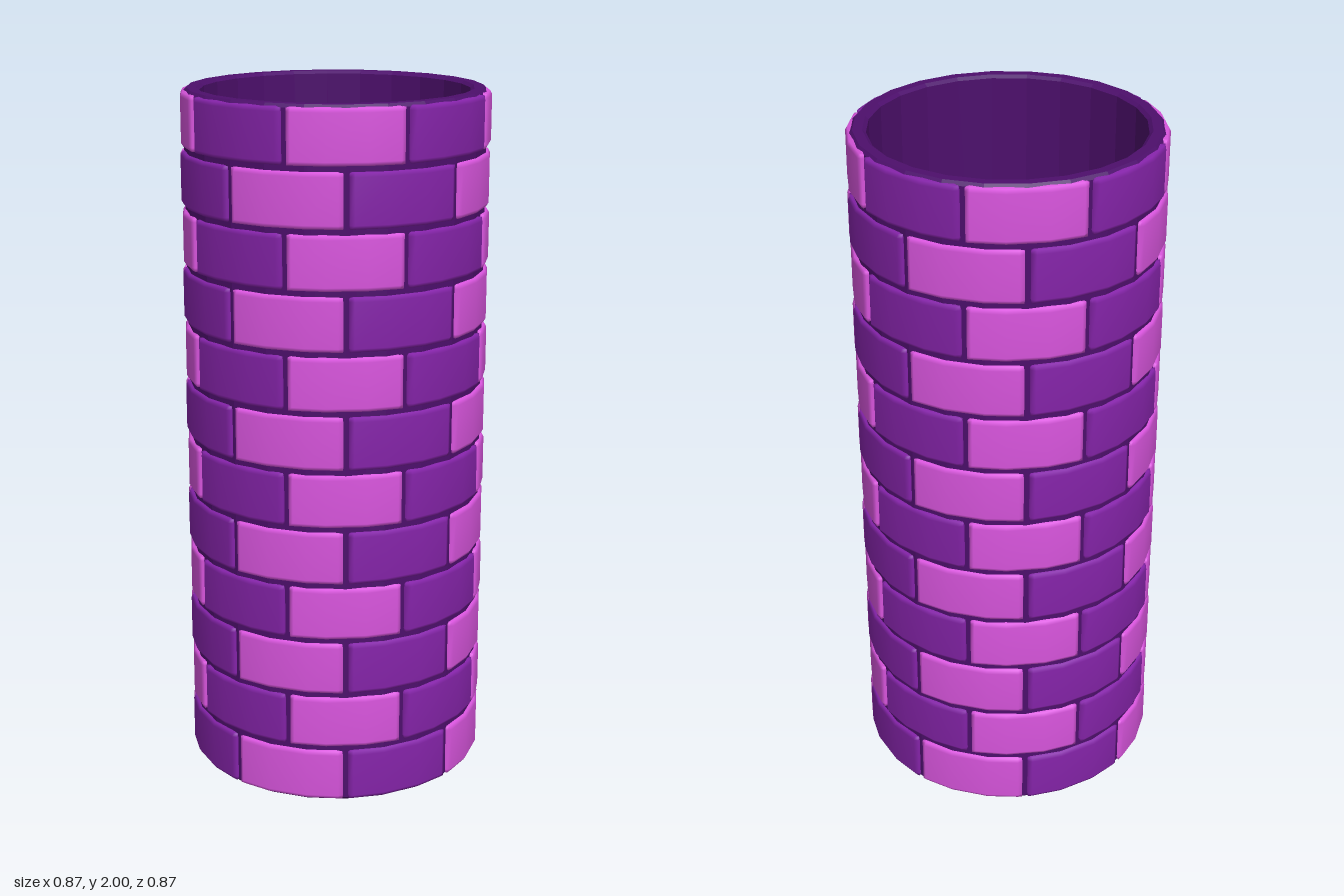
import * as THREE from 'three';

const ROWS = 12, BRICKS = 8, ROW_HEIGHT = 2 / ROWS;
const rad = THREE.MathUtils.degToRad;

function material(name, color) {
  const m = new THREE.MeshStandardMaterial({ color });
  m.name = name;
  return m;
}

// One curved brick centred on +z: a grid bent round the tower, with rounded rims and clipped corners
function brickGeometry() {
  const angles = [-21.8, -21.3, -19.6, -7.5, 7.5, 19.6, 21.3, 21.8];
  const heights = [0.078, 0.0745, 0.064, -0.064, -0.0745, -0.078];
  const drops = [0.022, 0.006, 0];
  const nx = angles.length, ny = heights.length;
  const geo = new THREE.PlaneGeometry(1, 1, nx - 1, ny - 1);
  const pos = geo.attributes.position;
  for (let j = 0; j < ny; j++) {
    for (let i = 0; i < nx; i++) {
      const ei = Math.min(i, nx - 1 - i), ej = Math.min(j, ny - 1 - j);
      const drop = Math.max(drops[Math.min(ei, 2)], drops[Math.min(ej, 2)]);
      const corner = ei + ej === 0 ? 1 : ei + ej === 1 ? 0.4 : 0;
      const a = rad(angles[i] - Math.sign(angles[i]) * corner * 1.0);
      const y = heights[j] - Math.sign(heights[j]) * corner * 0.008;
      const r = 0.437 - drop;
      pos.setXYZ(j * nx + i, r * Math.sin(a), y, r * Math.cos(a));
    }
  }
  geo.computeVertexNormals();
  return geo;
}

export function createModel() {
  const model = new THREE.Group();
  model.name = 'brickTower';

  const mortar = material('darkPurpleMortar', 0x4d0f6c);
  mortar.flatShading = true;
  const purple = material('purpleBrick', 0x8423a8);
  const pink = material('pinkBrick', 0xd955de);

  // Hollow mortar tube, open at both ends
  const profile = [
    [0.38, 0.008], [0.39, 0], [0.417, 0], [0.426, 0.01],
    [0.426, 1.99], [0.417, 2], [0.39, 2], [0.38, 1.992], [0.38, 0.008],
  ].map(([x, y]) => new THREE.Vector2(x, y));
  const wall = new THREE.Mesh(new THREE.LatheGeometry(profile, 24), mortar);
  wall.name = 'mortarWall';
  model.add(wall);

  // Staggered courses of alternating bricks
  const geo = brickGeometry();
  for (let row = 0; row < ROWS; row++) {
    const course = new THREE.Group();
    course.name = `brickCourse${row + 1}`;
    course.position.y = (row + 0.5) * ROW_HEIGHT;
    const odd = row % 2;
    for (let k = 0; k < BRICKS; k++) {
      const brick = new THREE.Mesh(geo, (k + odd) % 2 ? purple : pink);
      brick.name = 'brick';
      brick.rotation.y = rad(k * 45 + (odd ? 0 : 22.5));
      course.add(brick);
    }
    model.add(course);
  }
  return model;
}
